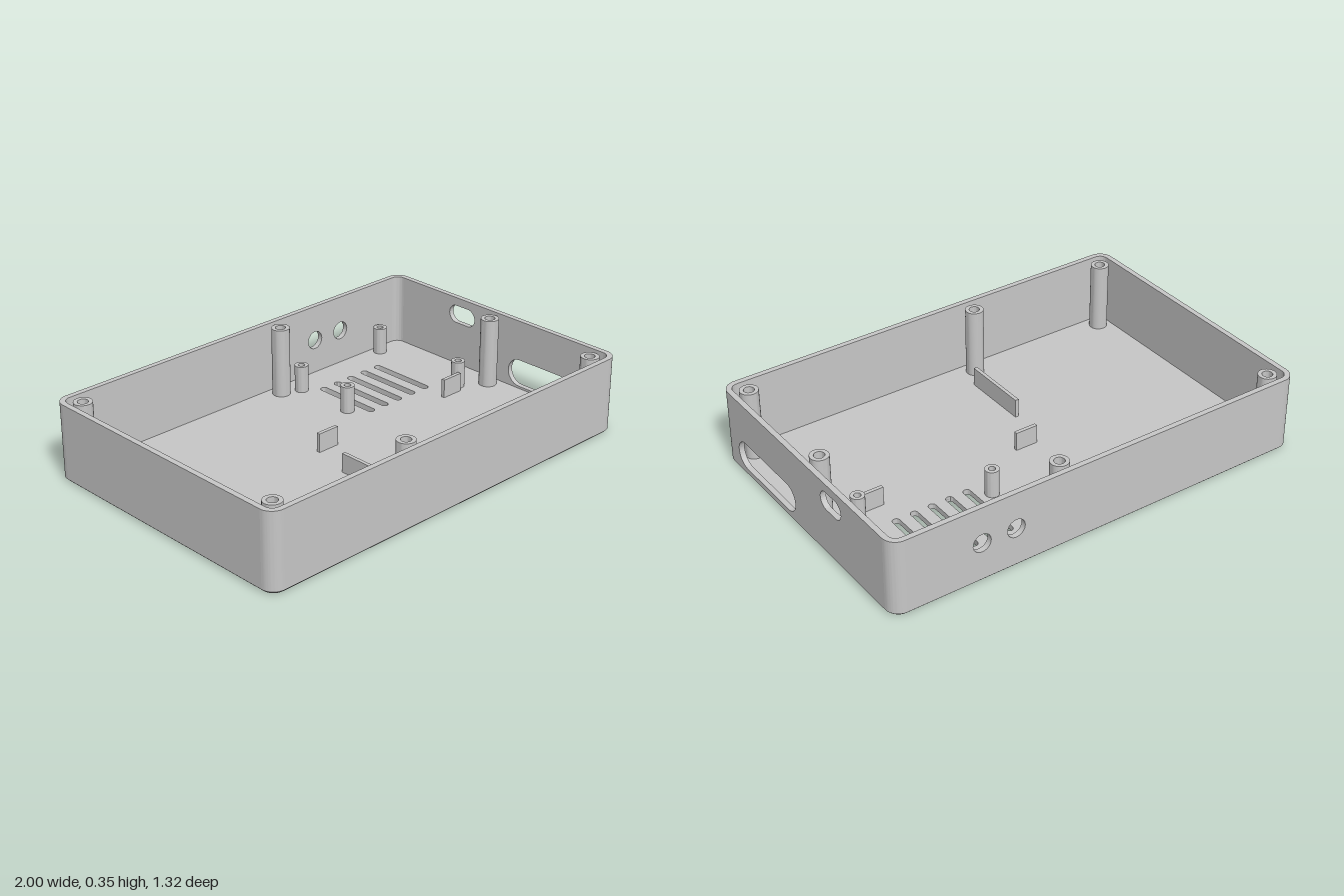
import * as THREE from 'three';
import { toCreasedNormals } from 'three/addons/utils/BufferGeometryUtils.js';

const W = 1, D = 0.66, H = 0.352;      // half width, half depth, height
const R = 0.062, T = 0.025, C = 0.011; // corner radius, wall thickness, bottom chamfer

// Rounded rectangle centred on (cx, cy); also used for slots
function roundedRect(Type, cx, cy, hw, hh, r, inward = 0) {
  hw -= inward; hh -= inward; r -= inward;
  const s = new Type();
  s.absarc(cx + hw - r, cy + hh - r, r, 0, Math.PI / 2);
  s.absarc(cx - hw + r, cy + hh - r, r, Math.PI / 2, Math.PI);
  s.absarc(cx - hw + r, cy - hh + r, r, Math.PI, Math.PI * 1.5);
  s.absarc(cx + hw - r, cy - hh + r, r, Math.PI * 1.5, Math.PI * 2);
  s.closePath();
  return s;
}

function circlePath(x, y, r) {
  return new THREE.Path().absarc(x, y, r, 0, Math.PI * 2);
}

function extrude(shape, depth) {
  const g = new THREE.ExtrudeGeometry(shape, { depth, bevelEnabled: false, curveSegments: 10 });
  return toCreasedNormals(g, 0.6);
}

export function createModel() {
  const model = new THREE.Group();
  model.name = 'enclosureBase';
  const grey = new THREE.MeshStandardMaterial({ color: 0xc7c7c7 });
  grey.name = 'light grey plastic';

  function add(name, geometry, x = 0, y = 0, z = 0) {
    const mesh = new THREE.Mesh(geometry, grey);
    mesh.name = name;
    mesh.position.set(x, y, z);
    model.add(mesh);
  }

  // Floor: a lower slice with foot recesses and an upper slice closing them
  const vents = () => [0.337, 0.422, 0.507, 0.593, 0.68].map(
    x => roundedRect(THREE.Path, x, 0.322, 0.017, 0.166, 0.0165));
  const lower = roundedRect(THREE.Shape, 0, 0, W, D, R, C);
  lower.holes.push(...vents());
  for (const x of [-0.85, 0.85])
    for (const z of [-0.505, 0.505]) lower.holes.push(circlePath(x, z, 0.066));
  add('floorUnderside', extrude(lower, C).rotateX(-Math.PI / 2));
  const upper = roundedRect(THREE.Shape, 0, 0, W, D, R, C);
  upper.holes.push(...vents());
  add('floor', extrude(upper, T - C).rotateX(-Math.PI / 2), 0, C, 0);

  // Chamfered bottom edge: loft between two rounded rectangles
  const inner = roundedRect(THREE.Shape, 0, 0, W, D, R, C).getPoints(10);
  const outer = roundedRect(THREE.Shape, 0, 0, W, D, R).getPoints(10);
  const verts = [];
  for (let i = 0; i < inner.length; i++) {
    const j = (i + 1) % inner.length;
    const a = [inner[i].x, 0, -inner[i].y], b = [inner[j].x, 0, -inner[j].y];
    const c = [outer[j].x, C, -outer[j].y], d = [outer[i].x, C, -outer[i].y];
    verts.push(...a, ...b, ...c, ...a, ...c, ...d);
  }
  const skirt = new THREE.BufferGeometry();
  skirt.setAttribute('position', new THREE.Float32BufferAttribute(verts, 3));
  add('bottomChamfer', toCreasedNormals(skirt, 0.6));

  // Straight walls with their openings
  function wall(half, holes = []) {
    const s = new THREE.Shape();
    s.moveTo(-half, C).lineTo(half, C).lineTo(half, H).lineTo(-half, H).closePath();
    s.holes.push(...holes);
    return extrude(s, T);
  }
  add('frontWall', wall(W - R), 0, 0, D - T);
  add('backWall', wall(W - R, [circlePath(0.595, 0.185, 0.042), circlePath(0.435, 0.185, 0.042)]), 0, 0, -D);
  add('rightSideWall', wall(D - R).rotateY(Math.PI / 2), -W, 0, 0);
  add('leftSideWall', wall(D - R, [
    roundedRect(THREE.Path, -0.305, 0.1, 0.235, 0.064, 0.0638),
    roundedRect(THREE.Path, 0.222, 0.271, 0.077, 0.042, 0.0418),
  ]).rotateY(Math.PI / 2), W - T, 0, 0);

  // Rounded wall corners
  [[1, -1], [-1, -1], [-1, 1], [1, 1]].forEach(([sx, sz], i) => {
    const s = new THREE.Shape();
    s.absarc(0, 0, R, 0, Math.PI / 2, false);
    s.absarc(0, 0, R - T, Math.PI / 2, 0, true);
    s.closePath();
    const g = extrude(s, H - C).rotateX(-Math.PI / 2).rotateY(i * Math.PI / 2);
    add('wallCorner', g, sx * (W - R), C, sz * (D - R));
  });

  // Hollow round posts
  function post(name, x, z, r, bore, top, depth) {
    const profile = [[r, T - 0.005], [r, top], [bore, top], [bore, top - depth], [0, top - depth]]
      .map(p => new THREE.Vector2(...p));
    add(name, toCreasedNormals(new THREE.LatheGeometry(profile, 28), 0.6), x, 0, z);
  }
  for (const [x, z] of [[-0.915, -0.575], [0.169, -0.575], [0.915, 0],
    [0.915, 0.573], [-0.214, 0.573], [-0.915, 0.573]])
    post('screwPost', x, z, 0.041, 0.023, 0.347, 0.2);
  for (const [x, z] of [[0.258, -0.537], [0.813, -0.591], [0.258, -0.24], [0.799, -0.079]])
    post('boardStandoff', x, z, 0.031, 0.015, 0.15, 0.1);

  // Upright locating ribs
  const ribTop = 0.112, ribH = ribTop - T + 0.005;
  for (const [x, z, w, d] of [[-0.055, -0.04, 0.107, 0.017], [0.713, -0.04, 0.107, 0.017],
    [-0.153, 0.32, 0.017, 0.32]])
    add('locatingRib', new THREE.BoxGeometry(w, ribH, d), x, ribTop - ribH / 2, z);

  return model;
}
